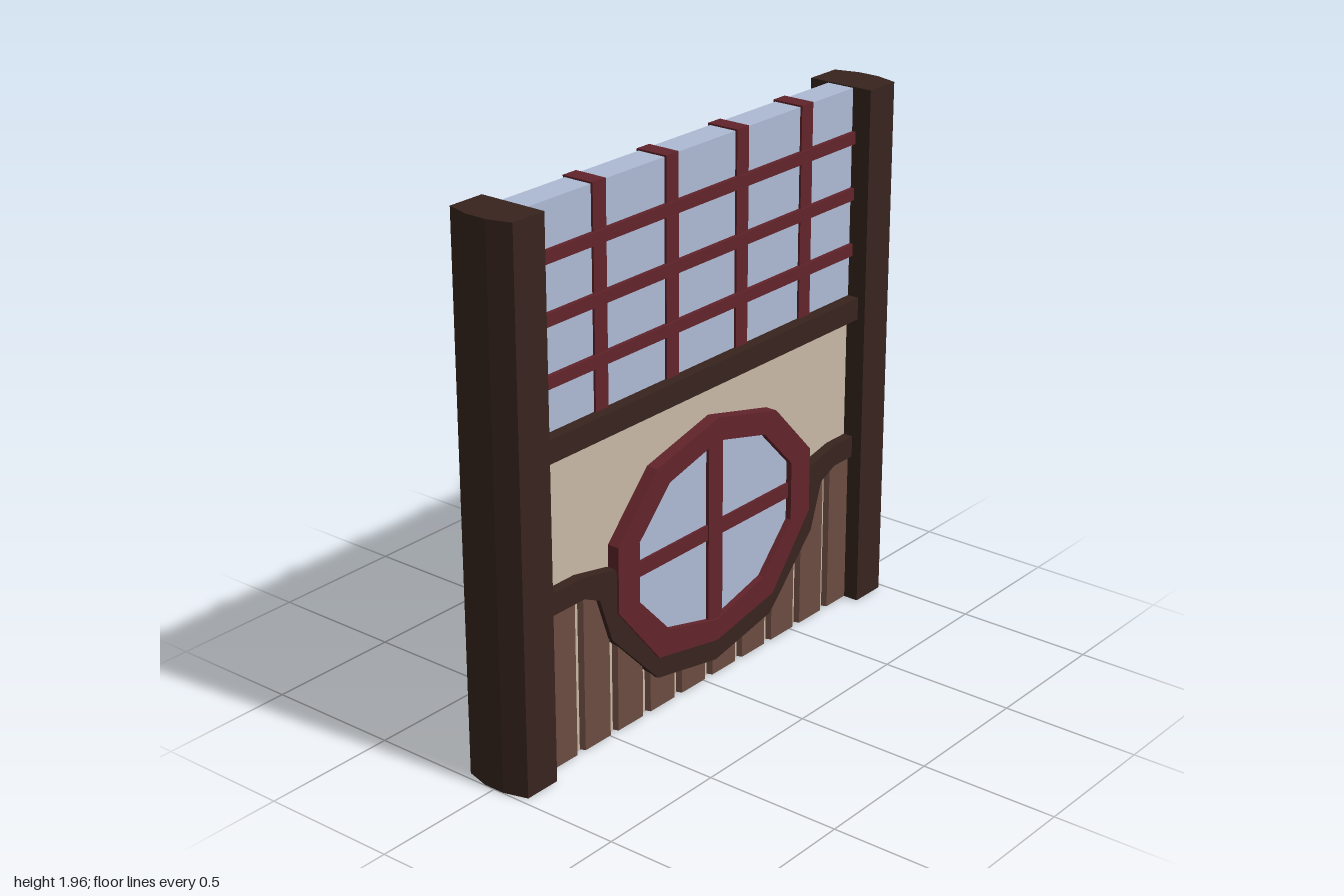
import * as THREE from 'three';

const mat = (color) => new THREE.MeshStandardMaterial({ color, flatShading: true });
const V = (pts) => pts.map(([x, y]) => new THREE.Vector2(x, y));

export function createModel() {
  const group = new THREE.Group();
  const darkWood = mat(0x38241e), redWood = mat(0x62242b), plankWood = mat(0x6b4c40);
  const plaster = mat(0xc8b8a5), glass = mat(0xaebad4);

  const add = (name, geometry, material) => {
    const mesh = new THREE.Mesh(geometry, material);
    mesh.name = name;
    group.add(mesh);
    return mesh;
  };
  // Box given by its x and y limits and half depth
  const slab = (name, x0, x1, y0, y1, hz, material) =>
    add(name, new THREE.BoxGeometry(x1 - x0, y1 - y0, hz * 2)
      .translate((x0 + x1) / 2, (y0 + y1) / 2, 0), material);
  // Front outline extruded equally to front and back
  const plate = (name, outline, hz, material, hole) => {
    const shape = new THREE.Shape(V(outline));
    if (hole) shape.holes.push(new THREE.Path(V(hole)));
    return add(name, new THREE.ExtrudeGeometry(shape, { depth: hz * 2, bevelEnabled: false })
      .translate(0, 0, -hz), material);
  };
  // Plan section (x, z) extruded upwards
  const upright = (section, height) =>
    new THREE.ExtrudeGeometry(new THREE.Shape(V(section)), { depth: height, bevelEnabled: false })
      .rotateX(-Math.PI / 2);

  // Side posts with a faceted outer face
  for (const s of [1, -1]) {
    const section = [[0.835, -0.127], [0.975, -0.127], [1, -0.04], [1, 0.04], [0.975, 0.127], [0.835, 0.127]];
    add(s > 0 ? 'leftPost' : 'rightPost',
      upright(section.map(([x, z]) => [x * s, z]), 1.953).translate(0, 0.002, 0), darkWood);
  }

  // Plaster wall and the beam above it
  slab('plasterWall', -0.9, 0.9, 0, 1.13, 0.05, plaster);
  slab('crossBeam', -0.84, 0.84, 1.11, 1.192, 0.097, darkWood);

  // Upper glazing with its lattice
  slab('upperGlass', -0.84, 0.84, 1.18, 1.951, 0.053, glass);
  for (const x of [-0.51, -0.155, 0.21, 0.563])
    slab('latticeUpright', x - 0.031, x + 0.031, 1.18, 1.957, 0.061, redWood);
  for (const y of [1.775, 1.571, 1.365])
    slab('latticeRail', -0.84, 0.84, y - 0.022, y + 0.022, 0.068, redWood);

  // Curved trim that dips beneath the window
  const lower = [[-0.84, 0.575], [-0.64, 0.575], [-0.565, 0.54], [-0.505, 0.37], [-0.27, 0.13], [0.045, 0.07],
    [0.355, 0.13], [0.592, 0.37], [0.65, 0.54], [0.73, 0.575], [0.84, 0.575]];
  const upper = [[0.84, 0.655], [0.73, 0.655], [0.57, 0.622], [0.53, 0.46], [0.335, 0.24], [0.045, 0.18],
    [-0.255, 0.24], [-0.445, 0.46], [-0.485, 0.622], [-0.65, 0.655], [-0.84, 0.655]];
  plate('curvedTrim', [...lower, ...upper], 0.087, darkWood);

  // Planks, with tops following the trim
  const topAt = (x) => {
    const cx = THREE.MathUtils.clamp(x, -0.839, 0.839);
    const i = lower.findIndex((p) => p[0] >= cx);
    const [a, b] = [lower[i - 1], lower[i]];
    return THREE.MathUtils.mapLinear(cx, a[0], b[0], a[1], b[1]) + 0.025;
  };
  for (let i = 0; i < 10; i++) {
    const cx = -0.733 + i * 0.169;
    const front = [[-0.073, 0.045]];
    for (let k = -3; k <= 3; k++) front.push([k * 0.0213, 0.07]);
    front.push([0.073, 0.045]);
    const back = front.map(([x, z]) => [x, -z]).reverse();
    const geometry = upright([...front, ...back].map(([x, z]) => [x + cx, z]), 1);
    const pos = geometry.attributes.position;
    for (let v = 0; v < pos.count; v++)
      pos.setY(v, pos.getY(v) > 0.5 ? topAt(pos.getX(v)) : 0.003);
    geometry.computeVertexNormals();
    add('plank', geometry, plankWood);
  }

  // Ten-sided window: half outlines mirrored about its centre line
  const wx = 0.044;
  const mirrored = (half) => [
    ...half.map(([x, y]) => [wx + x, y]),
    ...half.slice(1, -1).reverse().map(([x, y]) => [wx - x, y]),
  ];
  const outer = mirrored([[0, 0.15], [0.315, 0.21], [0.523, 0.46], [0.523, 0.7], [0.322, 0.912], [0, 0.99]]);
  const inner = mirrored([[0, 0.23], [0.258, 0.295], [0.415, 0.46], [0.415, 0.68], [0.258, 0.842], [0, 0.907]]);
  plate('windowFrame', outer, 0.095, redWood, inner);
  plate('windowGlass', inner, 0.073, glass);
  slab('windowUpright', wx - 0.038, wx + 0.038, 0.21, 0.93, 0.085, redWood);
  slab('windowRail', wx - 0.43, wx + 0.43, 0.544, 0.6, 0.082, redWood);

  return group;
}
